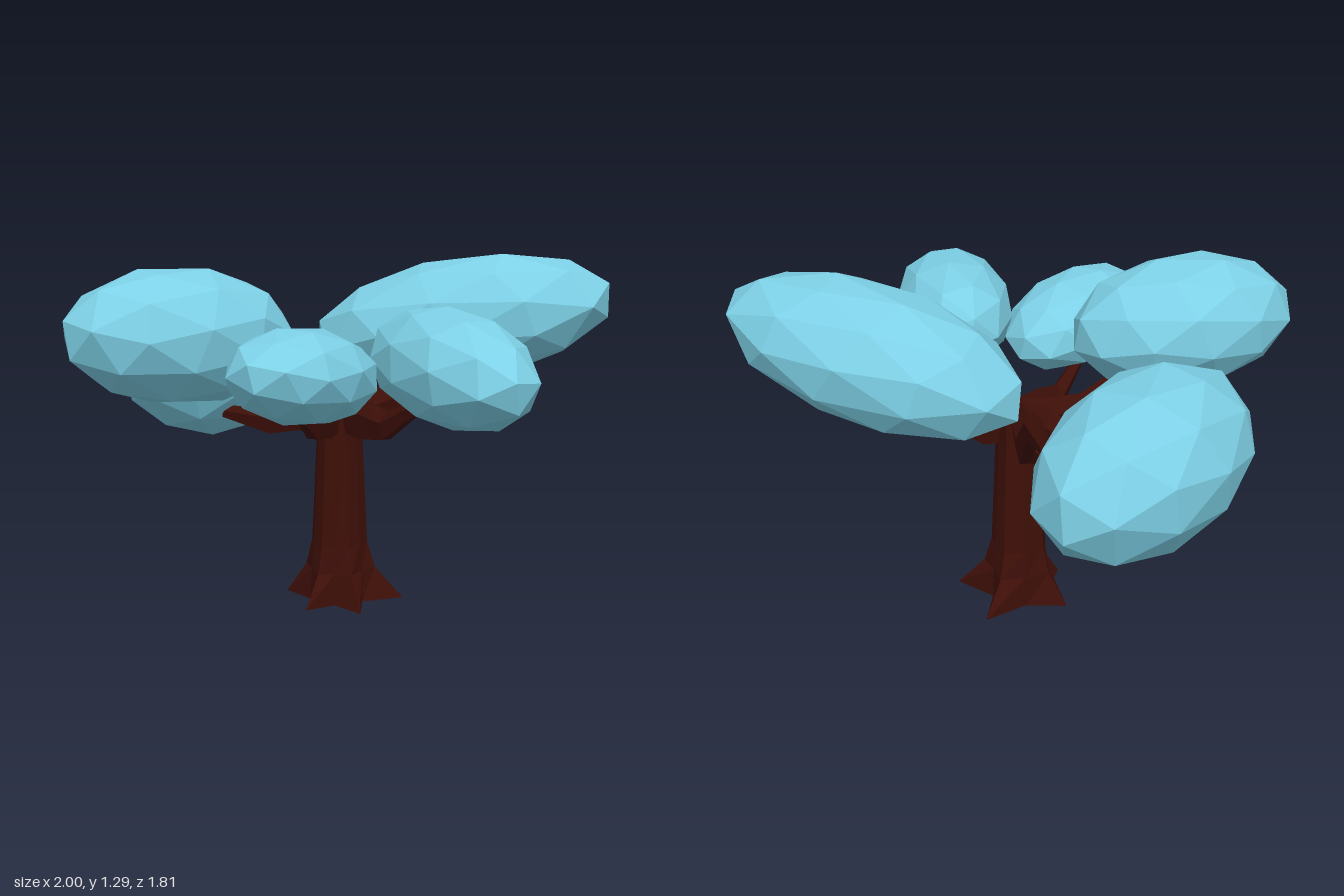
import * as THREE from 'three';

const bark = new THREE.MeshStandardMaterial({ color: 0x3e0f08, flatShading: true });
const leaf = new THREE.MeshStandardMaterial({ color: 0x7dd0e6, flatShading: true });
const CX = -0.01, CZ = -0.08; // trunk axis

// Closed surface through a list of rings with equal point counts
function loft(rings) {
  const n = rings[0].length;
  const pos = [];
  const tri = (...pts) => pts.forEach((p) => pos.push(p.x, p.y, p.z));
  const middle = (ring) => ring.reduce((s, p) => s.add(p), new THREE.Vector3()).divideScalar(n);
  const first = rings[0], last = rings[rings.length - 1];
  const bottom = middle(first), top = middle(last);
  for (let j = 0; j < n; j++) {
    const k = (j + 1) % n;
    for (let i = 0; i < rings.length - 1; i++) {
      const a = rings[i], b = rings[i + 1];
      tri(a[j], b[j], a[k]);
      tri(a[k], b[j], b[k]);
    }
    tri(bottom, first[j], first[k]);
    tri(top, last[k], last[j]);
  }
  const geo = new THREE.BufferGeometry();
  geo.setAttribute('position', new THREE.Float32BufferAttribute(pos, 3));
  geo.computeVertexNormals();
  return geo;
}

// Ridged trunk flaring into five uneven roots
function makeTrunk() {
  // Roots: [angle in degrees, reach]
  const roots = [[-39, 0.245], [27, 0.223], [84, 0.206], [159, 0.21], [248, 0.238]];
  // Profile: [height, radius between the roots, share of the root reach]
  const profile = [
    [0, 0.11, 1], [0.12, 0.105, 0.24], [0.22, 0.097, 0.08],
    [0.65, 0.078, 0.06], [0.78, 0.075, 0.06],
  ];
  const rings = profile.map(([y, valley, flare]) => {
    const ring = [];
    const add = (deg, r) => {
      const a = THREE.MathUtils.degToRad(deg);
      ring.push(new THREE.Vector3(CX + r * Math.cos(a), y, CZ + r * Math.sin(a)));
    };
    roots.forEach(([deg, reach], i) => {
      const next = i < 4 ? roots[i + 1][0] : roots[0][0] + 360;
      add(deg, THREE.MathUtils.lerp(valley, reach, flare));
      add((deg + next) / 2, valley);
    });
    return ring;
  });
  const mesh = new THREE.Mesh(loft(rings), bark);
  mesh.name = 'trunk';
  return mesh;
}

// Tapering branch, taller than wide, bending up from the trunk to its tip
function makeBranch([x, y, z], midY) {
  const up = new THREE.Vector3(0, 1, 0);
  const dir = new THREE.Vector3(x - CX, 0, z - CZ);
  const side = dir.clone().normalize().cross(up);
  // [share of the way, height, half width, half height]
  const steps = [
    [0, 0.73, 0.038, 0.09], [0.3, 0.715, 0.038, 0.088],
    [0.58, midY, 0.034, 0.055], [1, y, 0.016, 0.024],
  ];
  const rings = steps.map(([t, h, w, v]) =>
    Array.from({ length: 5 }, (_, j) => {
      const a = Math.PI / 2 + (j * Math.PI * 2) / 5;
      return new THREE.Vector3(CX, h, CZ).addScaledVector(dir, t)
        .addScaledVector(side, w * Math.cos(a)).addScaledVector(up, v * Math.sin(a));
    }));
  const mesh = new THREE.Mesh(loft(rings), bark);
  mesh.name = 'branch';
  return mesh;
}

// Faceted leaf cluster stretched along a heading (dx, dz) and pitched up by rise
function makeCluster(center, [dx, dz], rise, [w, h, l], roll = 0) {
  const geo = new THREE.IcosahedronGeometry(1, 1);
  geo.rotateX(0.35).rotateZ(0.2);
  geo.scale(w, h, l);
  const mesh = new THREE.Mesh(geo, leaf);
  mesh.position.set(...center);
  mesh.rotation.set(-rise, Math.atan2(dx, dz), roll, 'YXZ');
  mesh.name = 'leafCluster';
  return mesh;
}

export function createModel() {
  const tree = new THREE.Group();
  tree.name = 'tree';
  tree.add(makeTrunk());

  // Branches: tip and height at the bend
  [
    [[0.23, 0.91, -0.43], 0.765],
    [[0.5, 0.83, 0.06], 0.71],
    [[0.16, 0.82, 0.35], 0.71],
    [[-0.15, 0.88, 0.3], 0.75],
    [[-0.44, 0.69, 0.1], 0.665],
    [[-0.41, 0.75, -0.21], 0.715],
    [[-0.53, 0.91, -0.36], 0.87],
  ].forEach(([tip, midY]) => tree.add(makeBranch(tip, midY)));

  // Leaf clusters: back, left, front small, front large, right
  tree.add(
    makeCluster([0.2, 1.04, -0.547], [0.93, -0.53], 0.18, [0.28, 0.24, 0.58]),
    makeCluster([0.605, 0.96, 0.06], [0.76, 0.36], -0.06, [0.22, 0.195, 0.445]),
    makeCluster([0.265, 0.935, 0.405], [0.15, 0.65], 0.14, [0.222, 0.165, 0.345]),
    makeCluster([-0.21, 1.04, 0.513], [-0.27, 0.8], 0.06, [0.275, 0.24, 0.425]),
    makeCluster([-0.68, 0.845, -0.07], [0.28, 0.9], 0.05, [0.31, 0.29, 0.49], -0.35),
  );
  return tree;
}
